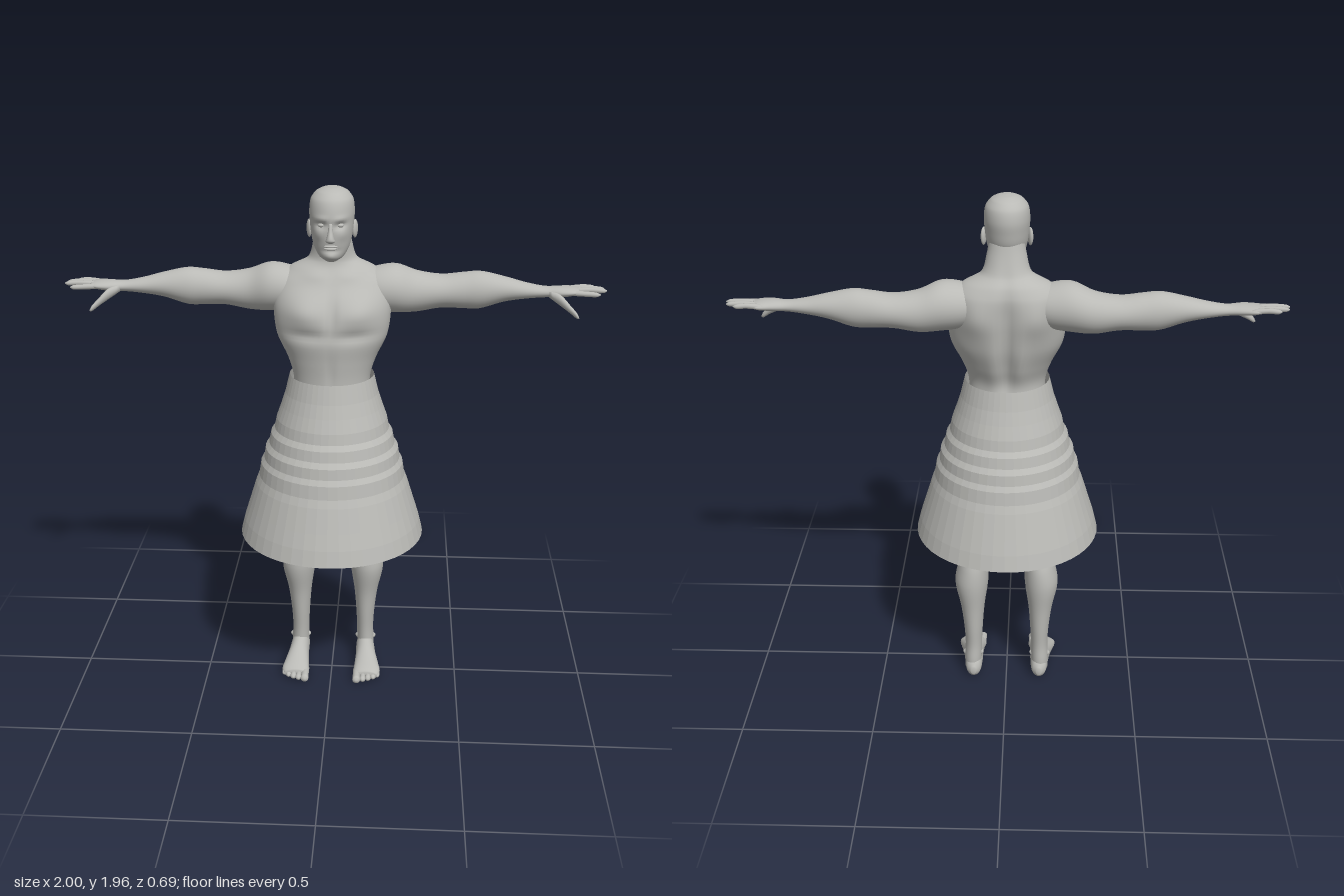
import * as THREE from 'three';

const clay = new THREE.MeshStandardMaterial({ color: 0xbabab6, side: THREE.DoubleSide });
clay.name = 'clay grey';

// Maps (position along the axis, two cross-section coordinates) to x, y, z.
const AXES = {
  x: (t, a, b) => [t, a, b],
  y: (t, a, b) => [a, t, b],
  z: (t, a, b) => [a, b, t],
};

// Smooth closed body through rows of [along, centreA, centreB, radiusA, radiusB].
function loft(axis, rows, { seg = 24, steps = 4, deform = null } = {}) {
  const centres = new THREE.CatmullRomCurve3(rows.map(r => new THREE.Vector3(r[0], r[1], r[2])));
  const radii = new THREE.CatmullRomCurve3(rows.map(r => new THREE.Vector3(r[3], r[4], r[0])));
  const n = (rows.length - 1) * steps;
  const turn = axis === 'y' ? 1 : -1;
  const pos = [], idx = [];
  const put = (t, a, b) => {
    const p = new THREE.Vector3(...AXES[axis](t, a, b));
    if (deform) deform(p);
    pos.push(p.x, p.y, p.z);
  };
  for (let i = 0; i <= n; i++) {
    const c = centres.getPoint(i / n), r = radii.getPoint(i / n);
    for (let j = 0; j < seg; j++) {
      const a = (j / seg) * Math.PI * 2;
      put(c.x, c.y + Math.cos(a) * r.x, c.z + turn * Math.sin(a) * r.y);
    }
  }
  for (let i = 0; i < n; i++) for (let j = 0; j < seg; j++) {
    const a = i * seg + j, b = i * seg + (j + 1) % seg;
    idx.push(a, a + seg, b, b, a + seg, b + seg);
  }
  const first = rows[0], last = rows[rows.length - 1], s = pos.length / 3;
  put(first[0], first[1], first[2]);
  put(last[0], last[1], last[2]);
  for (let j = 0; j < seg; j++) {
    const k = (j + 1) % seg;
    idx.push(s, j, k, s + 1, n * seg + k, n * seg + j);
  }
  const g = new THREE.BufferGeometry();
  g.setAttribute('position', new THREE.Float32BufferAttribute(pos, 3));
  g.setIndex(idx);
  g.computeVertexNormals();
  return g;
}

function mirrorX(g) {
  const m = g.clone().scale(-1, 1, 1), ix = m.index.array;
  for (let i = 0; i < ix.length; i += 3) [ix[i], ix[i + 1]] = [ix[i + 1], ix[i]];
  m.computeVertexNormals();
  return m;
}

// Soft mirrored bumps [side, x, y, widthX, widthY, height] pushed along z.
const sculpt = (midZ, bumps) => p => {
  let d = 0;
  const front = THREE.MathUtils.smoothstep(p.z, midZ - 0.03, midZ + 0.03);
  for (const [side, x, y, wx, wy, h] of bumps) {
    const u = (Math.abs(p.x) - x) / wx, v = (p.y - y) / wy;
    d += side * h * Math.exp(-u * u - v * v) * (side > 0 ? front : 1 - front);
  }
  p.z += d;
};

export function createModel() {
  const model = new THREE.Group();
  model.name = 'skirtedFigure';
  const add = (name, g) => {
    const mesh = new THREE.Mesh(g, clay);
    mesh.name = name;
    model.add(mesh);
  };
  const pair = (name, g) => { add(name + 'Left', g); add(name + 'Right', mirrorX(g)); };

  // Torso with neck: chest, sternum, belly, shoulder blades and spine
  add('torso', loft('y', [
    [0.92, 0, -0.01, 0.12, 0.09], [1.05, 0, -0.01, 0.16, 0.125], [1.2, 0, 0, 0.142, 0.11],
    [1.27, 0, 0.005, 0.143, 0.105], [1.34, 0, -0.004, 0.165, 0.12], [1.42, 0, -0.014, 0.203, 0.138],
    [1.5, 0, -0.025, 0.215, 0.14], [1.56, 0, -0.04, 0.215, 0.128], [1.62, 0, -0.06, 0.2, 0.108],
    [1.66, 0, -0.067, 0.155, 0.087], [1.695, 0, -0.06, 0.09, 0.068], [1.76, 0, -0.045, 0.07, 0.06],
    [1.82, 0, -0.035, 0.06, 0.055],
  ], {
    seg: 64, steps: 6, deform: sculpt(-0.03, [
      [1, 0.1, 1.53, 0.07, 0.055, 0.022], [1, 0, 1.52, 0.014, 0.07, -0.012], [1, 0.08, 1.44, 0.08, 0.02, -0.01],
      [1, 0, 1.3, 0.012, 0.08, -0.006], [1, 0.06, 1.645, 0.05, 0.02, 0.008],
      [-1, 0, 1.45, 0.025, 0.2, -0.022], [-1, 0.11, 1.55, 0.06, 0.07, 0.02], [-1, 0.05, 1.33, 0.03, 0.1, 0.01],
    ]),
  }));

  // Head with brow, eye sockets, cheeks and chin
  add('head', loft('y', [
    [1.705, 0, 0.042, 0.018, 0.022], [1.72, 0, 0.033, 0.042, 0.046], [1.75, 0, 0.013, 0.062, 0.072],
    [1.79, 0, 0, 0.073, 0.092], [1.84, 0, -0.005, 0.079, 0.1], [1.88, 0, -0.008, 0.081, 0.102],
    [1.92, 0, -0.01, 0.075, 0.092], [1.945, 0, -0.011, 0.055, 0.068], [1.957, 0, -0.012, 0.028, 0.034],
    [1.96, 0, -0.012, 0.004, 0.005],
  ], {
    seg: 48, steps: 6, deform: sculpt(0.02, [
      [1, 0.034, 1.838, 0.018, 0.011, -0.014], [1, 0.035, 1.862, 0.025, 0.009, 0.005],
      [1, 0.045, 1.805, 0.02, 0.018, 0.005], [1, 0, 1.728, 0.022, 0.014, 0.008],
      [1, 0, 1.748, 0.03, 0.007, -0.004],
    ]),
  }));
  add('nose', loft('y', [
    [1.778, 0, 0.092, 0.008, 0.008], [1.786, 0, 0.099, 0.017, 0.018], [1.796, 0, 0.1, 0.014, 0.019],
    [1.82, 0, 0.094, 0.009, 0.014], [1.848, 0, 0.088, 0.007, 0.008],
  ], { seg: 16 }));
  for (const [name, y, z] of [['upperLip', 1.765, 0.084], ['lowerLip', 1.756, 0.082]])
    add(name, new THREE.SphereGeometry(1, 20, 12).scale(0.025, 0.005, 0.011).translate(0, y, z));
  pair('eye', new THREE.SphereGeometry(0.011, 16, 12).scale(1.2, 0.7, 1).translate(0.033, 1.838, 0.072));
  pair('ear', new THREE.SphereGeometry(1, 16, 12).scale(0.009, 0.033, 0.018).rotateY(-0.35)
    .translate(0.082, 1.81, -0.012));

  // Arms from shoulder to palm
  pair('arm', loft('x', [
    [0.08, 1.58, -0.08, 0.05, 0.05], [0.15, 1.577, -0.072, 0.08, 0.085], [0.23, 1.577, -0.08, 0.09, 0.094],
    [0.31, 1.562, -0.096, 0.076, 0.079], [0.4, 1.563, -0.1, 0.062, 0.07], [0.48, 1.567, -0.098, 0.067, 0.066],
    [0.54, 1.57, -0.095, 0.069, 0.064], [0.63, 1.575, -0.092, 0.046, 0.053], [0.71, 1.572, -0.086, 0.029, 0.04],
    [0.78, 1.57, -0.081, 0.02, 0.031], [0.83, 1.572, -0.078, 0.02, 0.041], [0.875, 1.574, -0.082, 0.016, 0.046],
    [0.9, 1.575, -0.084, 0.01, 0.04],
  ], { seg: 32, steps: 5 }));

  // Fingers and thumb
  [[0.975, -0.05, -0.046], [1, -0.072, -0.07], [0.995, -0.094, -0.097], [0.965, -0.114, -0.121]].forEach(([tip, z0, z1], i) => {
    const mid = (0.87 + tip) / 2, y = 1.575 + (i === 0 ? -0.006 : 0.003);
    pair('finger' + (i + 1), loft('x', [
      [0.86, 1.574, z0, 0.01, 0.011], [mid, y + 0.002, (z0 + z1) / 2, 0.01, 0.01],
      [tip - 0.012, y, z1, 0.008, 0.008], [tip, y, z1, 0.002, 0.002],
    ], { seg: 12 }));
  });
  pair('thumb', loft('x', [
    [0.79, 1.567, -0.06, 0.013, 0.016], [0.83, 1.55, -0.032, 0.02, 0.017], [0.865, 1.522, -0.012, 0.014, 0.012],
    [0.888, 1.502, 0, 0.01, 0.009], [0.896, 1.495, 0.004, 0.002, 0.002],
  ], { seg: 14 }));

  // Legs from ankle to hip
  pair('leg', loft('y', [
    [0.03, 0.135, -0.1, 0.033, 0.046], [0.08, 0.134, -0.1, 0.034, 0.047], [0.14, 0.132, -0.097, 0.033, 0.047],
    [0.22, 0.132, -0.095, 0.037, 0.055], [0.32, 0.134, -0.092, 0.047, 0.065], [0.43, 0.137, -0.086, 0.065, 0.083],
    [0.5, 0.131, -0.083, 0.06, 0.081], [0.56, 0.124, -0.073, 0.053, 0.077], [0.63, 0.12, -0.063, 0.057, 0.085],
    [0.75, 0.115, -0.045, 0.075, 0.1], [0.9, 0.1, -0.02, 0.09, 0.115], [1.0, 0.08, -0.01, 0.07, 0.1],
  ], { seg: 32, steps: 5 }));
  pair('kneecap', new THREE.SphereGeometry(1, 20, 14).scale(0.03, 0.035, 0.018).translate(0.124, 0.575, -0.004));
  pair('ankleBone', new THREE.SphereGeometry(1, 16, 12).scale(0.042, 0.018, 0.02).translate(0.134, 0.092, -0.1));

  // Feet with flat soles, and toes
  const sole = p => { p.y = Math.max(p.y, 0); };
  pair('foot', loft('z', [
    [-0.158, 0.132, 0.035, 0.01, 0.015], [-0.14, 0.132, 0.04, 0.028, 0.038], [-0.09, 0.133, 0.05, 0.036, 0.056],
    [-0.03, 0.137, 0.042, 0.04, 0.05], [0.03, 0.142, 0.028, 0.049, 0.036], [0.07, 0.144, 0.02, 0.053, 0.026],
    [0.095, 0.14, 0.016, 0.045, 0.017],
  ], { seg: 32, steps: 5, deform: sole }));
  [[0.104, 0.13, 0.015], [0.129, 0.125, 0.011], [0.15, 0.117, 0.011], [0.17, 0.106, 0.01], [0.187, 0.092, 0.009]]
    .forEach(([x, tip, r], i) => pair('toe' + (i + 1), loft('z', [
      [0.05, x, 0.018, r, r], [tip - 0.025, x, 0.016, r, r], [tip - 0.007, x, 0.013, r, r], [tip, x, 0.012, r * 0.3, r * 0.3],
    ], { seg: 14, deform: sole })));

  // Flared, open, faceted skirt with shallow horizontal folds
  const profile = [
    [0.352, 0.63], [0.337, 0.69], [0.318, 0.75], [0.29, 0.84], [0.278, 0.87], [0.27, 0.92], [0.258, 0.94],
    [0.252, 0.98], [0.238, 1.0], [0.23, 1.04], [0.216, 1.06], [0.208, 1.1], [0.19, 1.15], [0.174, 1.2], [0.157, 1.27],
  ].map(([r, y]) => new THREE.Vector2(r, y));
  const skirt = new THREE.LatheGeometry(profile, 48).scale(1, 1, 0.985).toNonIndexed();
  skirt.computeVertexNormals();
  add('skirt', skirt);

  return model;
}
